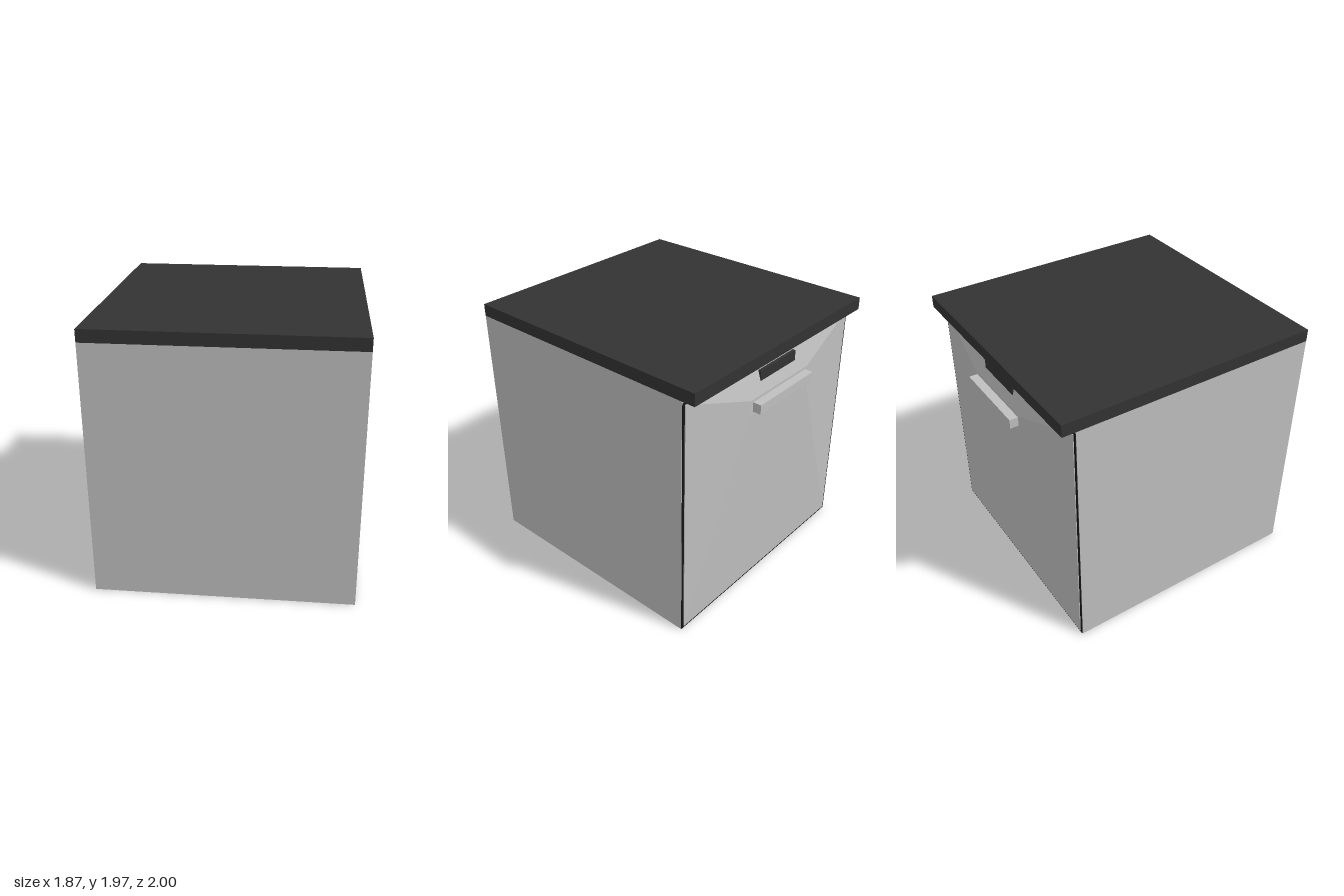
import * as THREE from 'three';

export function createModel() {
  const group = new THREE.Group();
  const steel = new THREE.MeshStandardMaterial({ color: 0xbfbfbf });
  steel.name = 'steel';
  const charcoal = new THREE.MeshStandardMaterial({ color: 0x333333 });
  charcoal.name = 'charcoal';
  const rubber = new THREE.MeshStandardMaterial({ color: 0x161616 });
  rubber.name = 'rubber';

  const add = (name, geometry, material) => {
    const mesh = new THREE.Mesh(geometry, material);
    mesh.name = name;
    group.add(mesh);
  };
  // Box given by its limits along each axis
  const box = (name, material, [x0, x1], [y0, y1], [z0, z1]) => {
    const g = new THREE.BoxGeometry(x1 - x0, y1 - y0, z1 - z0);
    g.translate((x0 + x1) / 2, (y0 + y1) / 2, (z0 + z1) / 2);
    add(name, g, material);
  };

  // Cabinet, worktop and the seal behind the door
  box('cabinet', steel, [-0.935, 0.935], [0, 1.875], [-0.865, 1]);
  box('worktop', charcoal, [-0.935, 0.935], [1.875, 1.965], [-0.963, 1]);
  box('doorSeal', rubber, [-0.932, 0.932], [0.003, 1.86], [-0.871, -0.865]);

  // Door: rectangular loops, from the rim out to the raised handle seat
  const loops = [
    { x: 0.915, y0: 0.02, y1: 1.845, z: -0.871 },
    { x: 0.915, y0: 0.02, y1: 1.845, z: -0.876 },
    { x: 0.33, y0: 1.52, y1: 1.64, z: -0.937 },
  ];
  const pos = [];
  const quad = (a, b, c, d) => pos.push(...a, ...b, ...c, ...a, ...c, ...d);
  const corners = ({ x, y0, y1, z }) => [[x, y0, z], [-x, y0, z], [-x, y1, z], [x, y1, z]];
  for (let i = 0; i < loops.length - 1; i++) {
    const a = corners(loops[i]), b = corners(loops[i + 1]);
    for (let k = 0; k < 4; k++) quad(a[k], a[(k + 1) % 4], b[(k + 1) % 4], b[k]);
  }
  quad(...corners(loops[2]));
  const door = new THREE.BufferGeometry();
  door.setAttribute('position', new THREE.Float32BufferAttribute(pos, 3));
  door.computeVertexNormals();
  add('door', door, steel);

  // Control display and handle
  box('display', charcoal, [-0.2, 0.2], [1.69, 1.8], [-0.912, -0.88]);
  box('handle', steel, [-0.305, 0.305], [1.55, 1.62], [-1, -0.93]);

  return group;
}
